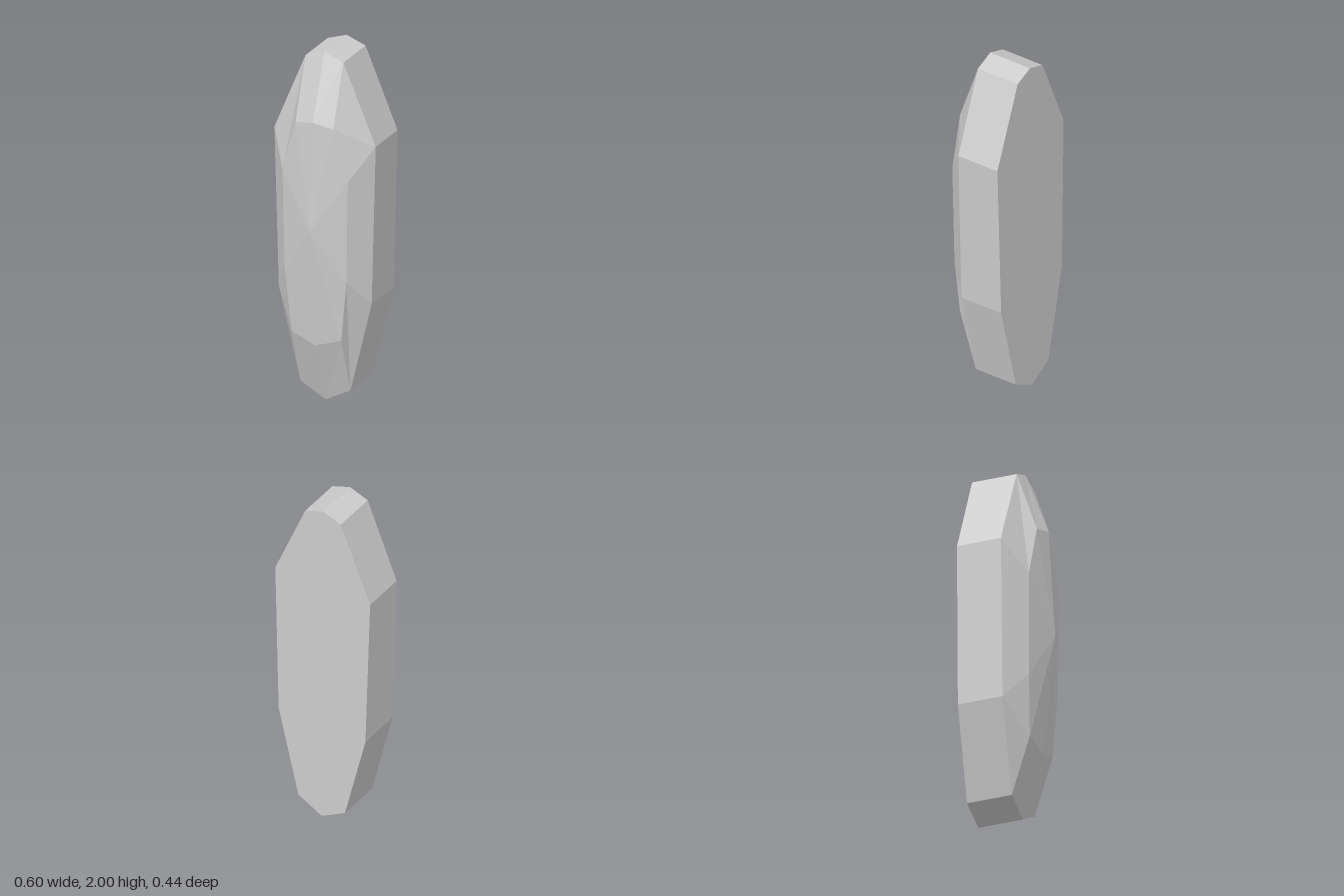
import * as THREE from 'three';

// Half cross-sections from top to bottom: [x, y, z]
const rimHalf = [[0, 2, 0.05], [0.112, 1.96, 0.049], [0.3, 1.51, 0.042], [0.275, 0.6, 0.04], [0.148, 0.08, 0.037], [0, 0, 0.036]];
const crownHalf = [[0, 1.645, 0.184], [0.112, 1.62, 0.166], [0.194, 1.33, 0.157], [0.182, 0.75, 0.152], [0.147, 0.405, 0.141], [0, 0.355, 0.155]];

// Mirror a half into a closed ring, counter-clockwise seen from the front
function ring(half) {
  const mirrored = half.map(([x, y, z]) => [-x, y, z]);
  return [...mirrored, ...half.slice(1, -1).reverse()];
}

function facetMesh(name, triangles) {
  const geometry = new THREE.BufferGeometry();
  geometry.setAttribute('position', new THREE.Float32BufferAttribute(triangles.flat(2), 3));
  geometry.computeVertexNormals();
  const mesh = new THREE.Mesh(geometry, new THREE.MeshStandardMaterial({ color: 0xcccccc, flatShading: true }));
  mesh.name = name;
  return mesh;
}

// Band of facets from an outer ring to the ring in front of it
function band(outer, inner) {
  return outer.flatMap((a, i) => {
    const j = (i + 1) % outer.length;
    return [[a, outer[j], inner[j]], [a, inner[j], inner[i]]];
  });
}

function fan(points, centre) {
  return points.map((p, i) => [p, points[(i + 1) % points.length], centre]);
}

export function createModel() {
  const rim = ring(rimHalf);
  const crown = ring(crownHalf);
  // The back leans very slightly
  const back = rim.map(([x, y]) => [x, y, -0.222 + 0.007 * y]);

  const gem = new THREE.Group();
  gem.name = 'gem';
  gem.add(
    facetMesh('sideWall', band(back, rim)),
    facetMesh('bevelFacets', band(rim, crown)),
    facetMesh('crownFacets', fan(crown, [0, 1.03, 0.222])),
    facetMesh('backFace', fan([...back].reverse(), [0, 1, -0.215])),
  );
  return gem;
}
